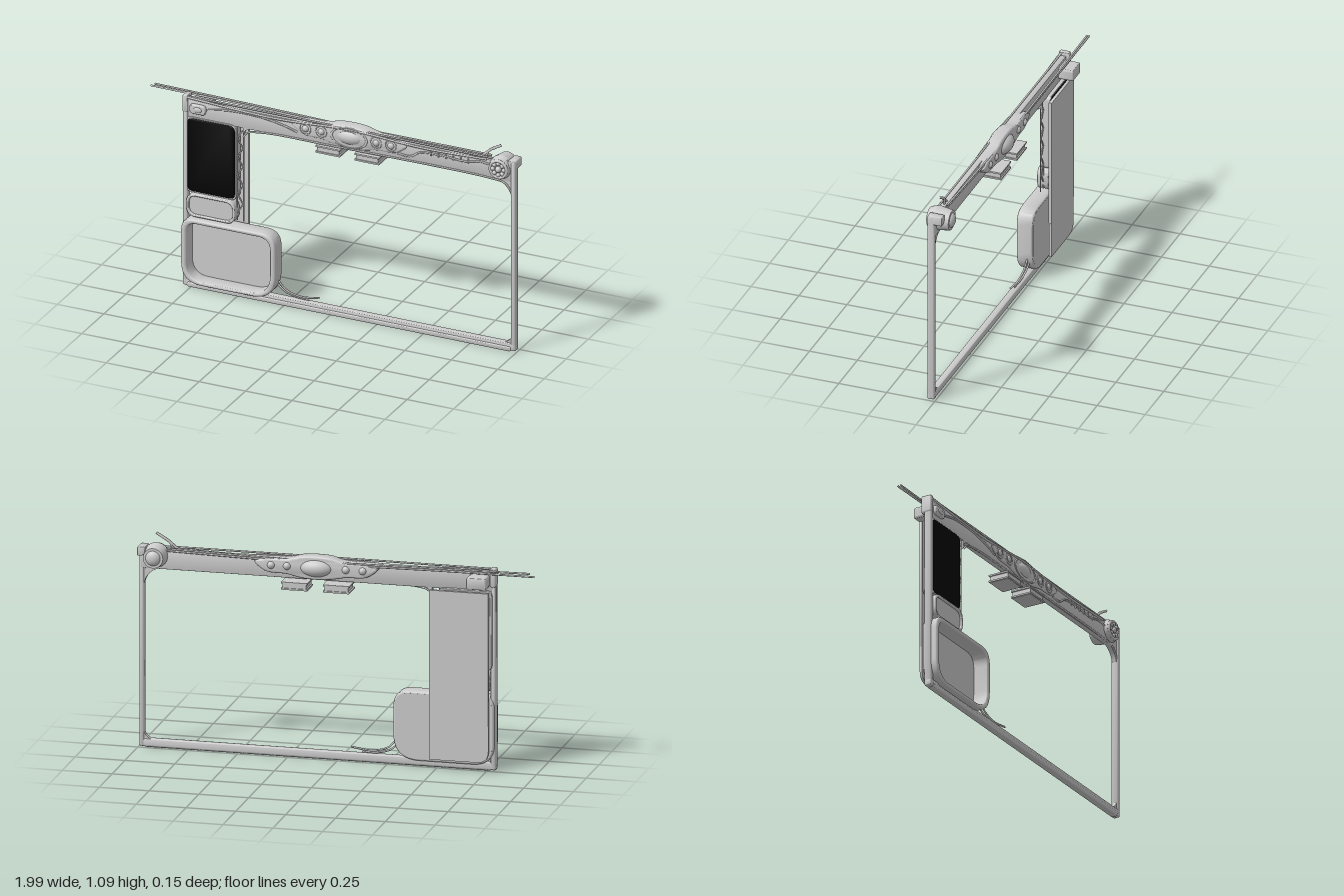
import * as THREE from 'three';
import { toCreasedNormals } from 'three/addons/utils/BufferGeometryUtils.js';

export function createModel() {
  const model = new THREE.Group();
  model.name = 'screenFrame';
  const grey = new THREE.MeshStandardMaterial({ color: 0xcccccc });
  grey.name = 'grey';
  const black = new THREE.MeshStandardMaterial({ color: 0x050505 });
  black.name = 'black';

  const add = (name, geo, mat = grey, x = 0, y = 0, z = 0) => {
    const m = new THREE.Mesh(geo, mat);
    m.name = name;
    m.position.set(x, y, z);
    model.add(m);
    return m;
  };
  // rounded rectangle; radii run bottom left, bottom right, top right, top left
  const rounded = (x0, y0, x1, y1, r, Type = THREE.Shape) => {
    const [a, b, c, d] = Array.isArray(r) ? r : [r, r, r, r];
    const p = new Type();
    p.moveTo(x0 + a, y0);
    p.lineTo(x1 - b, y0);
    p.quadraticCurveTo(x1, y0, x1, y0 + b);
    p.lineTo(x1, y1 - c);
    p.quadraticCurveTo(x1, y1, x1 - c, y1);
    p.lineTo(x0 + d, y1);
    p.quadraticCurveTo(x0, y1, x0, y1 - d);
    p.lineTo(x0, y0 + a);
    p.quadraticCurveTo(x0, y0, x0 + a, y0);
    return p;
  };
  // slab between two depths, with rounded edges
  const slab = (name, shape, z0, z1, bevel = 0, mat = grey) => {
    const geo = new THREE.ExtrudeGeometry(shape, {
      depth: z1 - z0 - 2 * bevel, curveSegments: 10, bevelEnabled: bevel > 0,
      bevelThickness: bevel, bevelSize: bevel, bevelOffset: -bevel, bevelSegments: 4,
    });
    geo.translate(0, 0, z0 + bevel);
    return add(name, toCreasedNormals(geo, 0.7), mat);
  };
  const tube = (name, pts, r, seg = 24) => add(name, new THREE.TubeGeometry(
    new THREE.CatmullRomCurve3(pts.map((p) => new THREE.Vector3(...p))), seg, r, 6));
  const ball = (name, x, y, z, sx, sy, sz) => {
    const m = add(name, new THREE.SphereGeometry(1, 24, 16), grey, x, y, z);
    m.scale.set(sx, sy, sz);
    return m;
  };
  const disc = (name, r0, r1, x, y, z0, z1, sides = 28) => {
    const geo = new THREE.CylinderGeometry(r1, r0, z1 - z0, sides);
    geo.rotateX(Math.PI / 2);
    return add(name, geo, grey, x, y, (z0 + z1) / 2);
  };

  // main frame: rails, posts and curved inner corners
  slab('topRail', rounded(-0.79, 0.905, 0.99, 1.004, 0.004), 0.004, 0.034, 0.003);
  slab('bottomRail', rounded(-0.795, 0.004, 0.995, 0.043, 0.01), 0.006, 0.042, 0.008);
  slab('bottomLip', rounded(-0.77, 0, 0.97, 0.026, 0.01), 0.01, 0.046, 0.006);
  slab('leftPost', rounded(-0.795, 0.005, -0.768, 1.02, 0.01), 0.004, 0.042, 0.008);
  slab('rightPost', rounded(0.97, 0.005, 0.995, 1.02, 0.01), 0.004, 0.042, 0.008);
  for (const [x, y, sx, sy, r] of [[0.974, 0.909, -1, -1, 0.1], [0.974, 0.039, -1, 1, 0.055],
    [-0.474, 0.909, 1, -1, 0.05]]) {
    const corner = new THREE.Shape();
    corner.moveTo(x, y);
    corner.lineTo(x + sx * r, y);
    corner.quadraticCurveTo(x + sx * r * 0.1, y + sy * r * 0.1, x, y + sy * r);
    slab('innerCorner', corner, 0.01, 0.034);
  }
  tube('topRailLip', [[-0.47, 0.86, 0.035], [-0.45, 0.885, 0.035], [-0.36, 0.903, 0.035],
    [0, 0.908, 0.035], [0.85, 0.908, 0.035], [0.94, 0.895, 0.035], [0.972, 0.85, 0.035]], 0.005, 60);
  tube('topEdgeRod', [[-0.79, 1.015, 0.03], [0.1, 1.016, 0.03], [0.97, 1.014, 0.03]], 0.005, 20);
  tube('topEdgeTrim', [[-0.78, 1.012, 0.036], [-0.3, 0.994, 0.038], [0.1, 1.014, 0.038],
    [0.5, 0.996, 0.038], [0.84, 1.005, 0.036]], 0.006, 50);

  // back plate of the side column, with a rounded foot
  slab('backPlate', rounded(-0.768, 0.235, -0.47, 0.905, 0.002), -0.037, -0.022);
  slab('backPlateFoot', rounded(-0.768, 0.05, -0.47, 0.235, [0.06, 0.002, 0, 0]), -0.036, -0.023);

  // dark side panel and its rim
  const rim = rounded(-0.778, 0.508, -0.508, 0.912, 0.03);
  rim.holes.push(rounded(-0.766, 0.52, -0.52, 0.9, 0.025, THREE.Path));
  slab('sidePanelRim', rim, -0.014, 0.038, 0.004);
  slab('sidePanel', rounded(-0.77, 0.515, -0.515, 0.905, 0.03), -0.008, 0.042, 0.004, black);

  // lattice beside the panel
  const zigzag = new THREE.CurvePath();
  const knots = [];
  for (let i = 0; i <= 9; i++) knots.push(new THREE.Vector3(i % 2 ? -0.478 : -0.508, 0.44 + i * 0.05, 0.022));
  for (let i = 0; i < 9; i++) zigzag.add(new THREE.LineCurve3(knots[i], knots[i + 1]));
  add('lattice', new THREE.TubeGeometry(zigzag, 90, 0.004, 6));
  for (const x of [-0.51, -0.474]) tube('latticeRail', [[x, 0.4, 0.022], [x, 0.905, 0.022]], 0.003, 2);

  // small panel
  const small = rounded(-0.77, 0.385, -0.508, 0.508, 0.05);
  small.holes.push(rounded(-0.757, 0.398, -0.521, 0.495, 0.042, THREE.Path));
  slab('smallPanelRim', small, -0.005, 0.055, 0.006);
  slab('smallPanelFace', rounded(-0.76, 0.395, -0.518, 0.498, 0.042), -0.004, 0.044);

  // large picture panel: deep rim with a recessed pane
  const large = rounded(-0.79, 0.03, -0.283, 0.38, [0.11, 0.13, 0.08, 0.07]);
  large.holes.push(rounded(-0.762, 0.052, -0.311, 0.356, [0.09, 0.11, 0.065, 0.055], THREE.Path));
  slab('largePanelRim', large, -0.01, 0.075, 0.011);
  slab('largePanelPane', rounded(-0.78, 0.04, -0.293, 0.37, [0.1, 0.12, 0.07, 0.06]), -0.0105, -0.005);

  // central ornament with bosses on both sides
  const wing = new THREE.Shape();
  const half = [[0.31, 0.985], [0.25, 1.004], [0.14, 1.008], [0.07, 1.026], [0, 1.03]];
  const low = [[0, 0.912], [0.08, 0.918], [0.15, 0.932], [0.24, 0.936], [0.28, 0.955]];
  const outline = [...half, ...half.slice(0, -1).reverse().map(([x, y]) => [-x, y]),
    ...low.slice(1).reverse().map(([x, y]) => [-x, y]), ...low];
  wing.setFromPoints(new THREE.CatmullRomCurve3(
    outline.map(([x, y]) => new THREE.Vector3(x + 0.1, y, 0)), true).getPoints(70)
    .map((p) => new THREE.Vector2(p.x, p.y)));
  slab('ornamentWing', wing, -0.028, 0.04, 0.01);
  ball('ornamentCentre', 0.1, 0.97, 0, 0.088, 0.048, 0.056);
  const ring = add('ornamentRing', new THREE.TorusGeometry(0.094, 0.007, 8, 40), grey, 0.1, 0.97, 0.037);
  ring.scale.y = 0.56;
  for (const x of [-0.135, -0.05, 0.245, 0.325]) {
    ball('ornamentBoss', x, 0.973, 0.005, 0.028, 0.028, 0.045);
    add('bossRing', new THREE.TorusGeometry(0.029, 0.003, 6, 24), grey, x, 0.973, 0.039);
  }

  // two flanged blocks hanging under the top rail
  for (const x of [-0.01, 0.2]) {
    add('hangingBlock', new THREE.BoxGeometry(0.118, 0.04, 0.1), grey, x, 0.881, -0.005);
    for (const y of [0.866, 0.897]) {
      add('blockFlange', new THREE.BoxGeometry(0.132, 0.008, 0.112), grey, x, y, -0.005);
    }
  }

  // round corner knob
  const kx = 0.91, ky = 0.972;
  disc('knobBody', 0.05, 0.062, kx, ky, -0.055, 0.02);
  disc('knobCollar', 0.062, 0.052, kx, ky, 0.02, 0.052);
  ball('knobBackDome', kx, ky, -0.045, 0.04, 0.04, 0.028);
  add('knobRing', new THREE.TorusGeometry(0.044, 0.008, 8, 32), grey, kx, ky, 0.054);
  for (let i = 0; i < 8; i++) {
    const a = (i * Math.PI) / 4;
    ball('knobPetal', kx + 0.03 * Math.cos(a), ky + 0.03 * Math.sin(a), 0.054, 0.011, 0.011, 0.011);
  }
  ball('knobCentre', kx, ky, 0.054, 0.016, 0.016, 0.016);
  slab('cornerClaw', rounded(0.955, 0.975, 0.995, 1.022, [0.03, 0.005, 0.01, 0.005]), -0.035, 0.04, 0.004);

  // curved horns above the knob
  tube('longHorn', [[0.76, 0.985, 0.025], [0.81, 1.015, 0.018], [0.85, 1.05, 0.012], [0.91, 1.085, 0.012]], 0.007);
  tube('shortHorn', [[0.78, 0.975, 0.025], [0.82, 1.0, 0.018], [0.84, 1.04, 0.012], [0.875, 1.064, 0.012]], 0.006);

  // cables and clips on the face of the top rail
  tube('cable', [[0.36, 0.94, 0.036], [0.43, 0.938, 0.036], [0.48, 0.968, 0.036],
    [0.6, 0.976, 0.036], [0.72, 0.97, 0.036], [0.8, 0.985, 0.036], [0.86, 0.98, 0.036]], 0.005, 40);
  for (let i = 0; i < 6; i++) {
    add('cableClip', new THREE.BoxGeometry(0.006, 0.024, 0.012), grey, 0.54 + i * 0.04, 0.975, 0.035);
  }
  tube('leftCable', [[-0.66, 0.965, 0.036], [-0.55, 0.985, 0.036], [-0.38, 0.985, 0.036],
    [-0.25, 0.965, 0.036], [-0.18, 0.945, 0.036]], 0.005, 40);

  // long rods reaching past the left end
  tube('upperRod', [[-0.975, 1.018, -0.024], [-0.5, 1.012, -0.024], [0.1, 1.004, -0.02],
    [0.85, 1.012, -0.005]], 0.005, 40);
  tube('lowerRod', [[-0.998, 1.004, -0.026], [-0.5, 1.002, -0.024], [0.1, 0.994, -0.02],
    [0.85, 1.002, -0.005]], 0.005, 40);

  // left corner fitting
  slab('cornerFitting', rounded(-0.765, 0.93, -0.665, 0.99, 0.012), -0.073, 0.01, 0.008);
  slab('cornerBadge', rounded(-0.755, 0.935, -0.67, 0.985, 0.02), 0.03, 0.05, 0.006);
  ball('cornerStud', -0.71, 0.96, 0.049, 0.022, 0.014, 0.007);
  slab('leftCornerCap', rounded(-0.797, 0.93, -0.768, 1.024, 0.012), -0.012, 0.044, 0.008);

  // curling sprigs by the foot of the large panel
  tube('longSprig', [[-0.29, 0.12, 0.02], [-0.25, 0.08, 0.022], [-0.17, 0.058, 0.024], [-0.065, 0.07, 0.024]], 0.005);
  tube('shortSprig', [[-0.3, 0.1, 0.012], [-0.26, 0.07, 0.016], [-0.2, 0.052, 0.02], [-0.12, 0.05, 0.024]], 0.005);
  return model;
}
